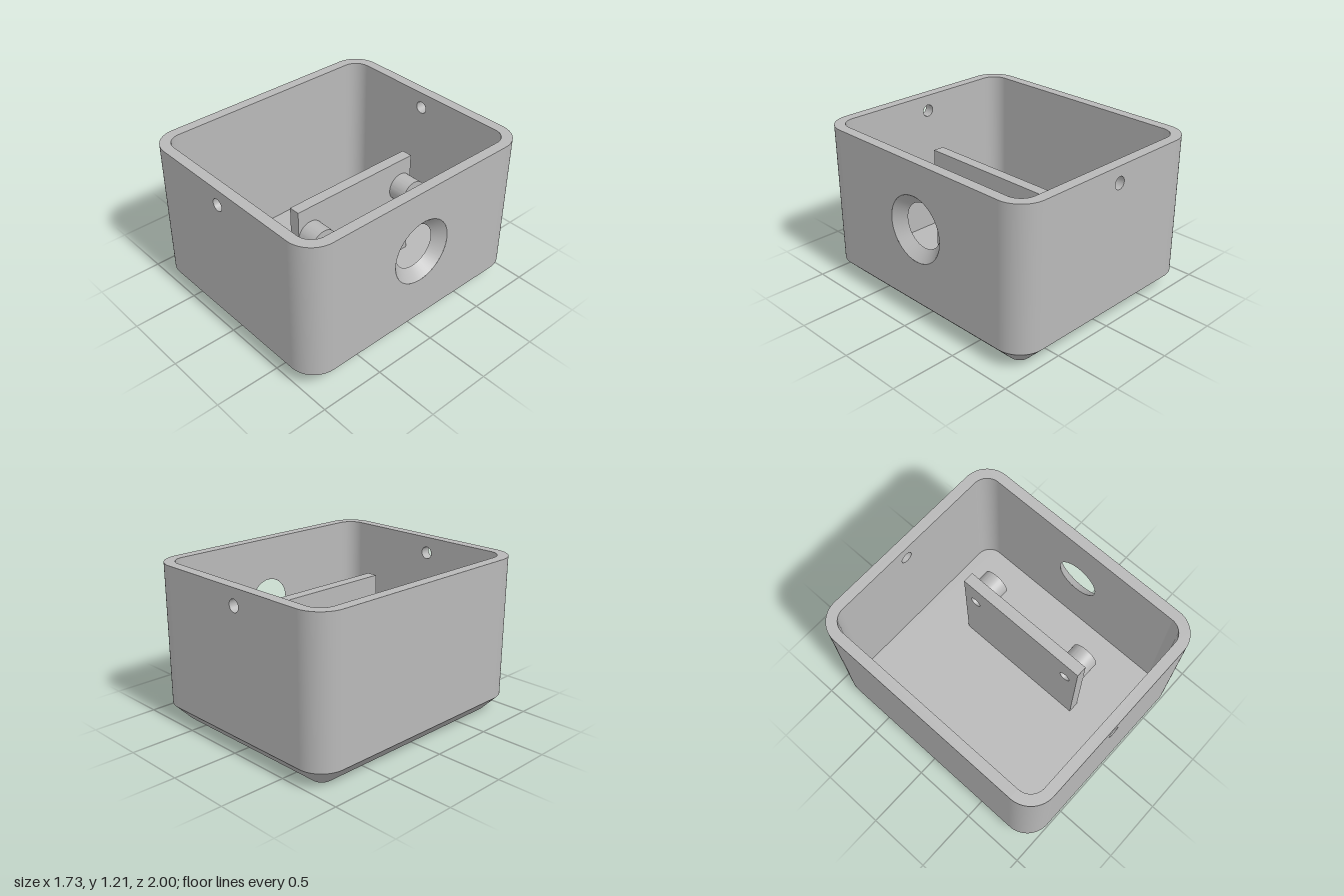
import * as THREE from 'three';
import { toCreasedNormals } from 'three/addons/utils/BufferGeometryUtils.js';

const HX = 0.865, HZ = 1, TOP = 1.21, R = 0.2; // outer half sizes, height, corner radius
const WALL = 0.08, FLOOR = 0.08, CH = 0.13, INSET = 0.125;

const casing = new THREE.MeshStandardMaterial({ color: 0xb8b8b8, side: THREE.DoubleSide });
casing.name = 'casing grey';

function add(parent, geometry, name, x = 0, y = 0, z = 0) {
  const mesh = new THREE.Mesh(geometry, casing);
  mesh.name = name;
  mesh.position.set(x, y, z);
  parent.add(mesh);
  return mesh;
}

function circle(x, y, r) {
  return new THREE.Path().absarc(x, y, r, 0, Math.PI * 2, true);
}

// Rounded rectangle shrunk by d on all sides
function outline(d) {
  const x = HX - d, y = HZ - d, r = R - d, s = new THREE.Shape();
  s.absarc(x - r, y - r, r, 0, Math.PI / 2);
  s.absarc(r - x, y - r, r, Math.PI / 2, Math.PI);
  s.absarc(r - x, r - y, r, Math.PI, Math.PI * 1.5);
  s.absarc(x - r, r - y, r, Math.PI * 1.5, Math.PI * 2);
  s.closePath();
  return s;
}

// Rectangle standing in the xy plane, with optional round holes
function panel(halfWidth, y0, y1, holes) {
  const s = new THREE.Shape();
  s.moveTo(-halfWidth, y0).lineTo(halfWidth, y0).lineTo(halfWidth, y1).lineTo(-halfWidth, y1).closePath();
  s.holes = holes;
  return s;
}

// Surface of revolution through two points; descending points face inward
function band(r0, y0, r1, y1, segments, angle) {
  return new THREE.LatheGeometry([new THREE.Vector2(r0, y0), new THREE.Vector2(r1, y1)], segments, 0, angle);
}

// Sloping band joining the base to the walls
function chamferGeometry() {
  const n = 16, pos = [], index = [], rings = [[INSET, 0], [0, CH]];
  const count = 4 * (n + 1);
  for (const [d, y] of rings) {
    const r = R - d;
    for (let k = 0; k < count; k++) {
      const q = Math.floor(k / (n + 1)), a = (q + (k % (n + 1)) / n) * Math.PI / 2;
      const sx = q === 0 || q === 3 ? 1 : -1, sz = q < 2 ? 1 : -1;
      pos.push(sx * (HX - R) + r * Math.cos(a), y, sz * (HZ - R) + r * Math.sin(a));
    }
  }
  for (let k = 0; k < count; k++) {
    const m = (k + 1) % count;
    index.push(k, k + count, m, m, k + count, m + count);
  }
  const g = new THREE.BufferGeometry();
  g.setAttribute('position', new THREE.Float32BufferAttribute(pos, 3));
  g.setIndex(index);
  g.computeVertexNormals();
  return g;
}

export function createModel() {
  const model = new THREE.Group();
  model.name = 'openBox';

  // Walls: front, right, back and left, each with the corner that follows it
  const smallHole = (u) => ({ u, y: 1.085, inner: 0.047, outer: 0.047 });
  const sides = [
    { name: 'front', hole: smallHole(-0.055) },
    { name: 'plusX', hole: { u: 0, y: 0.71, inner: 0.17, outer: 0.25 } },
    { name: 'back', hole: smallHole(0.055) },
    { name: 'minusX', hole: null },
  ];
  sides.forEach(({ name, hole }, i) => {
    const d = i % 2 ? HX : HZ, half = (i % 2 ? HZ : HX) - R;
    const side = new THREE.Group();
    side.name = name + 'Wall';
    side.rotation.y = i * Math.PI / 2;
    model.add(side);

    const outerHoles = hole ? [circle(hole.u, hole.y, hole.outer)] : [];
    const innerHoles = hole ? [circle(-hole.u, hole.y, hole.inner)] : [];
    add(side, new THREE.ShapeGeometry(panel(half, CH, TOP, outerHoles), 48), 'outerFace', 0, 0, d);
    add(side, new THREE.ShapeGeometry(panel(half, FLOOR, TOP, innerHoles), 48), 'innerFace', 0, 0, d - WALL)
      .rotation.y = Math.PI;
    if (hole) {
      add(side, band(hole.outer, WALL, hole.inner, 0, 48, Math.PI * 2), 'holeLining', hole.u, hole.y, d - WALL)
        .rotation.x = Math.PI / 2;
    }
    add(side, band(R, CH, R, TOP, 16, Math.PI / 2), 'outerCorner', half, 0, d - R);
    add(side, band(R - WALL, TOP, R - WALL, FLOOR, 16, Math.PI / 2), 'innerCorner', half, 0, d - R);
  });

  // Rim, floor, chamfer and underside
  const rim = outline(0);
  rim.holes.push(outline(WALL));
  add(model, new THREE.ShapeGeometry(rim, 16), 'rim', 0, TOP).rotation.x = -Math.PI / 2;
  add(model, new THREE.ShapeGeometry(outline(WALL), 16), 'floor', 0, FLOOR).rotation.x = -Math.PI / 2;
  add(model, chamferGeometry(), 'chamfer');
  add(model, new THREE.ShapeGeometry(outline(INSET), 16), 'underside').rotation.x = Math.PI / 2;

  // Upright mounting plate with two hollow standoffs
  const solid = (shape, depth) =>
    toCreasedNormals(new THREE.ExtrudeGeometry(shape, { depth, bevelEnabled: false, curveSegments: 32 }), 0.6);
  const pegZ = 0.437, pegY = 0.715, bore = 0.043;
  const plate = panel(0.542, FLOOR, 0.94, [-pegZ, pegZ].map((u) => circle(u, pegY, bore)));
  add(model, solid(plate, 0.085), 'mountingPlate', 0.13).rotation.y = Math.PI / 2;
  for (const z of [-pegZ, pegZ]) {
    const ring = new THREE.Shape().absarc(0, 0, 0.105, 0, Math.PI * 2);
    ring.holes.push(circle(0, 0, bore));
    add(model, solid(ring, 0.145), 'standoff', 0.215, pegY, z).rotation.y = Math.PI / 2;
  }
  return model;
}
